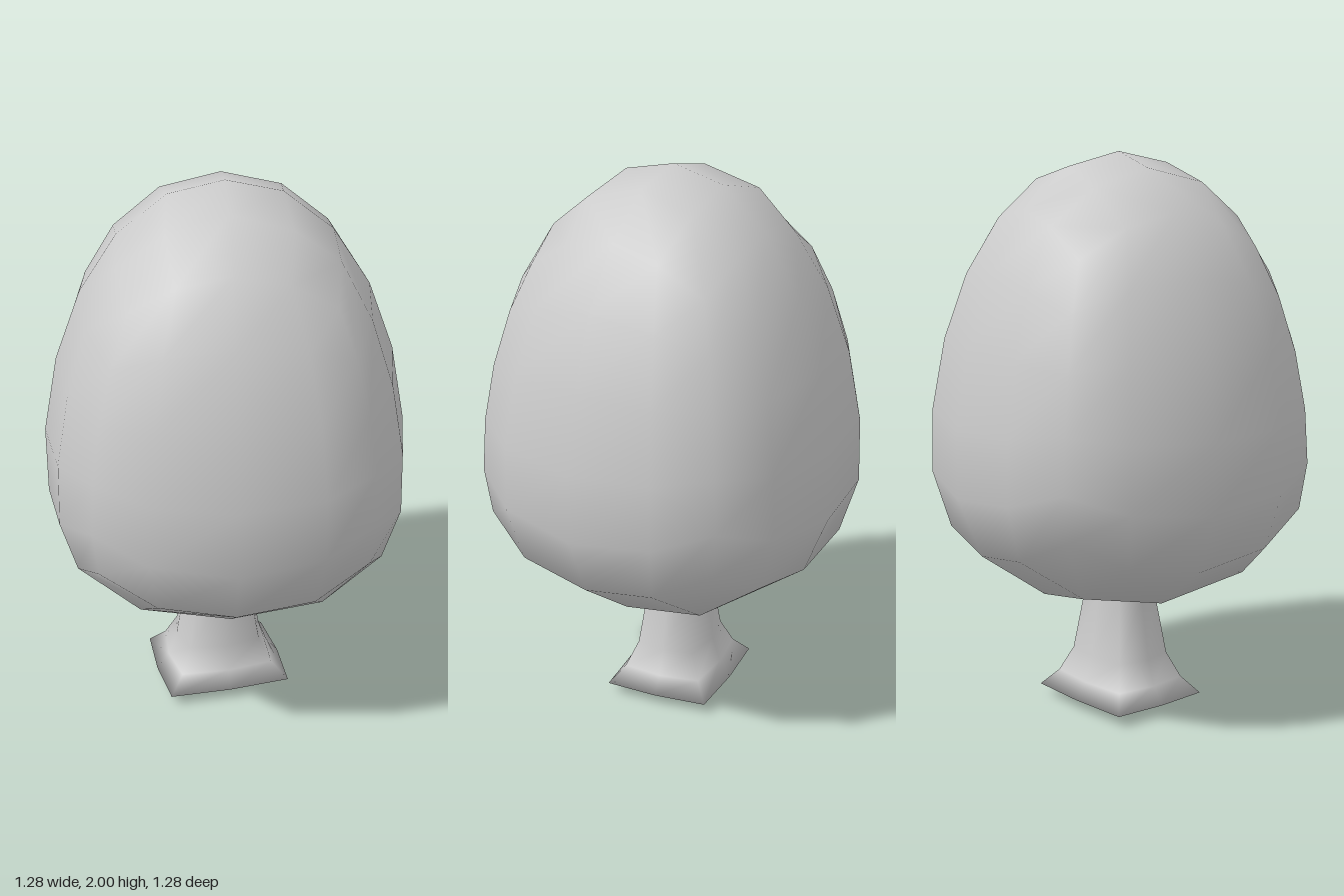
import * as THREE from 'three';
import { mergeVertices } from 'three/addons/utils/BufferGeometryUtils.js';

const grey = () => new THREE.MeshStandardMaterial({ color: 0xcccccc });

// Egg-shaped crown: a gridded cube rounded onto a profile, keeping a slight squareness
function createCrown() {
  const polar = [0, 26.6, 45, 59, 78.7, 101.3, 121, 135, 153.4, 180];
  const profile = new THREE.SplineCurve([
    [0, 2], [0.197, 1.955], [0.37, 1.815], [0.5, 1.61], [0.59, 1.36],
    [0.64, 1.08], [0.638, 0.83], [0.55, 0.615], [0.305, 0.44], [0, 0.395],
  ].map(([r, y]) => new THREE.Vector2(r, y)));

  let geometry = new THREE.BoxGeometry(2, 2, 2, 4, 5, 4);
  geometry.deleteAttribute('uv');
  geometry.deleteAttribute('normal');
  geometry = mergeVertices(geometry);
  const pos = geometry.attributes.position;
  for (let i = 0; i < pos.count; i++) {
    const x = pos.getX(i), y = pos.getY(i), z = pos.getZ(i);
    const phi = THREE.MathUtils.radToDeg(Math.atan2(Math.hypot(x, z), y));
    let k = 0;
    while (k < polar.length - 2 && phi > polar[k + 1]) k++;
    const f = Math.min(1, (phi - polar[k]) / (polar[k + 1] - polar[k]));
    const p = profile.getPoint((k + f) / (polar.length - 1));
    // Even out the columns around each side
    const angle = Math.atan2(z, x);
    const r = p.x * (1 + 0.03 * (1 - Math.cos(4 * angle)));
    pos.setXYZ(i, r * Math.cos(angle), p.y, r * Math.sin(angle));
  }
  geometry.computeVertexNormals();
  const crown = new THREE.Mesh(geometry, grey());
  crown.name = 'crown';
  crown.rotation.y = THREE.MathUtils.degToRad(-10);
  return crown;
}

// Flared trunk: eight-sided rings from the square foot up into the crown
function createTrunk() {
  const sides = 8;
  // y, half width, half depth, corner fullness
  const rings = [
    [0.04, 0.245, 0.21, 0.92],
    [0.1, 0.198, 0.168, 0.87],
    [0.19, 0.165, 0.138, 0.8],
    [0.42, 0.125, 0.106, 0.78],
    [0.6, 0.118, 0.1, 0.78],
  ];
  const points = [], faces = [];
  for (const [y, hx, hz, full] of rings) {
    for (let i = 0; i < sides; i++) {
      const a = (i / sides) * Math.PI * 2;
      const s = i % 2 ? full * Math.SQRT2 : 0.97;
      points.push(hx * s * Math.cos(a), y, hz * s * Math.sin(a));
    }
  }
  const bottom = rings.length * sides, top = bottom + 1;
  points.push(0, 0, 0, 0, 0.6, 0);
  for (let i = 0; i < sides; i++) {
    const j = (i + 1) % sides;
    for (let r = 0; r < rings.length - 1; r++) {
      const a = r * sides + i, b = r * sides + j;
      faces.push(a, a + sides, b, b, a + sides, b + sides);
    }
    const last = (rings.length - 1) * sides;
    faces.push(bottom, i, j, top, last + j, last + i);
  }
  const geometry = new THREE.BufferGeometry();
  geometry.setAttribute('position', new THREE.Float32BufferAttribute(points, 3));
  geometry.setIndex(faces);
  geometry.computeVertexNormals();
  const trunk = new THREE.Mesh(geometry, grey());
  trunk.name = 'trunk';
  trunk.position.set(-0.025, 0, -0.015);
  return trunk;
}

export function createModel() {
  const tree = new THREE.Group();
  tree.name = 'tree';
  tree.add(createCrown(), createTrunk());
  return tree;
}
